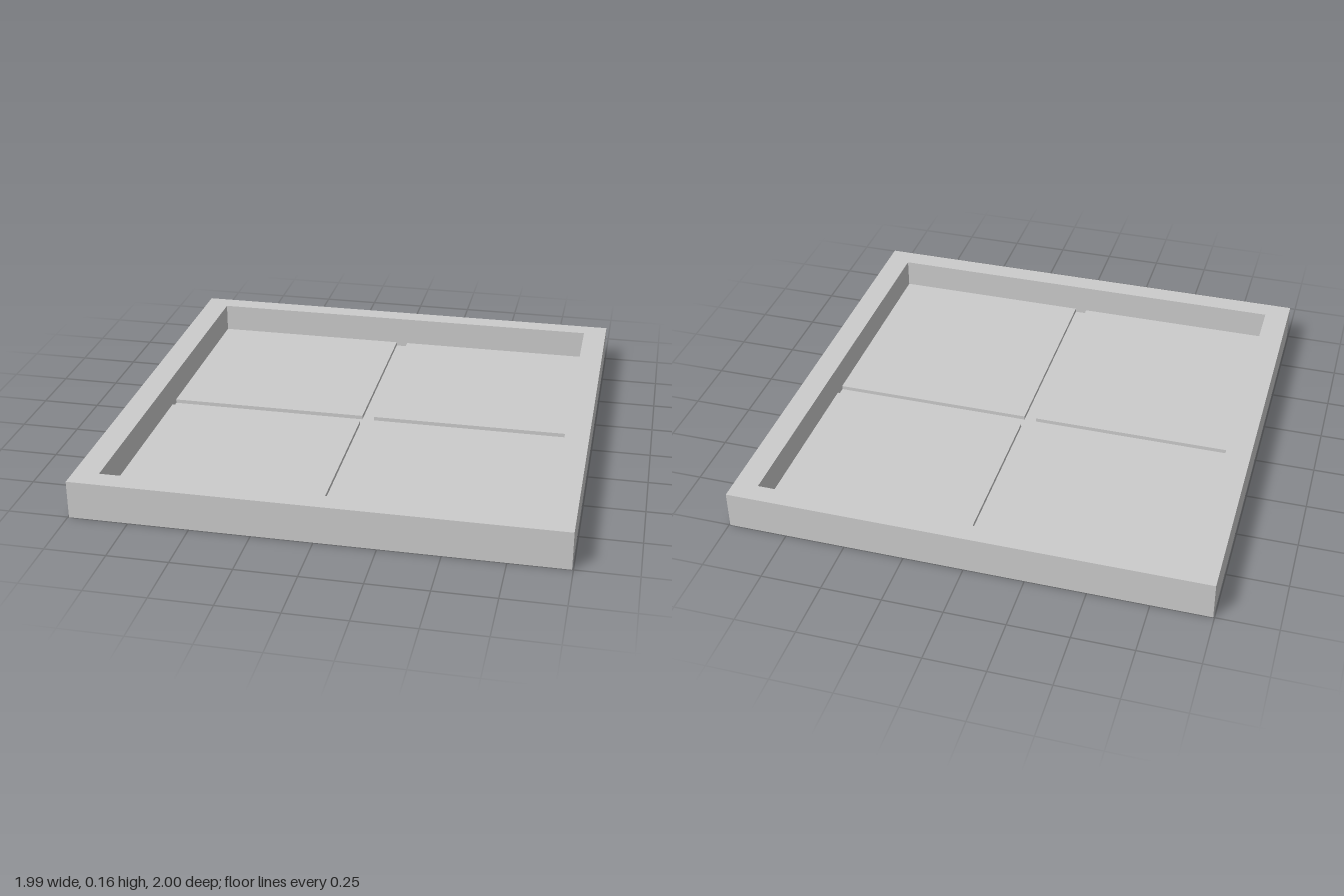
import * as THREE from 'three';

const material = new THREE.MeshStandardMaterial({ color: 0xcccccc, flatShading: true });

// Outline of a rectangle in plan; shape y maps to -z once laid flat
function rect(Type, x0, x1, z0, z1) {
  const r = new Type();
  r.moveTo(x0, -z1);
  r.lineTo(x1, -z1);
  r.lineTo(x1, -z0);
  r.lineTo(x0, -z0);
  r.closePath();
  return r;
}

// Upright slab made from a plan shape, spanning heights y0 to y1
function slab(name, shape, y0, y1) {
  const geometry = new THREE.ExtrudeGeometry(shape, { depth: y1 - y0, bevelEnabled: false });
  geometry.rotateX(-Math.PI / 2);
  geometry.translate(0, y0, 0);
  const mesh = new THREE.Mesh(geometry, material);
  mesh.name = name;
  return mesh;
}

export function createModel() {
  const group = new THREE.Group();
  group.name = 'tray';

  const base = 0.018, panelTop = 0.035, rimTop = 0.16;
  const xs = [[-0.89, -0.022], [0.03, 0.893]]; // panel spans across
  const zs = [[-0.915, -0.063], [-0.009, 0.91]]; // panel spans in depth

  // Solid bottom, which is also the groove floor
  group.add(slab('basePlate', rect(THREE.Shape, -0.995, 0.995, -1, 1), 0, base));

  // Raised border around the recess
  const rim = rect(THREE.Shape, -0.995, 0.995, -1, 1);
  rim.holes.push(rect(THREE.Path, xs[0][0], xs[1][1], zs[0][0], zs[1][1]));
  group.add(slab('rim', rim, base, rimTop));

  // Four floor panels separated by cross-shaped grooves
  for (const [x0, x1] of xs) {
    for (const [z0, z1] of zs) {
      group.add(slab('floorPanel', rect(THREE.Shape, x0, x1, z0, z1), base, panelTop));
    }
  }
  return group;
}
